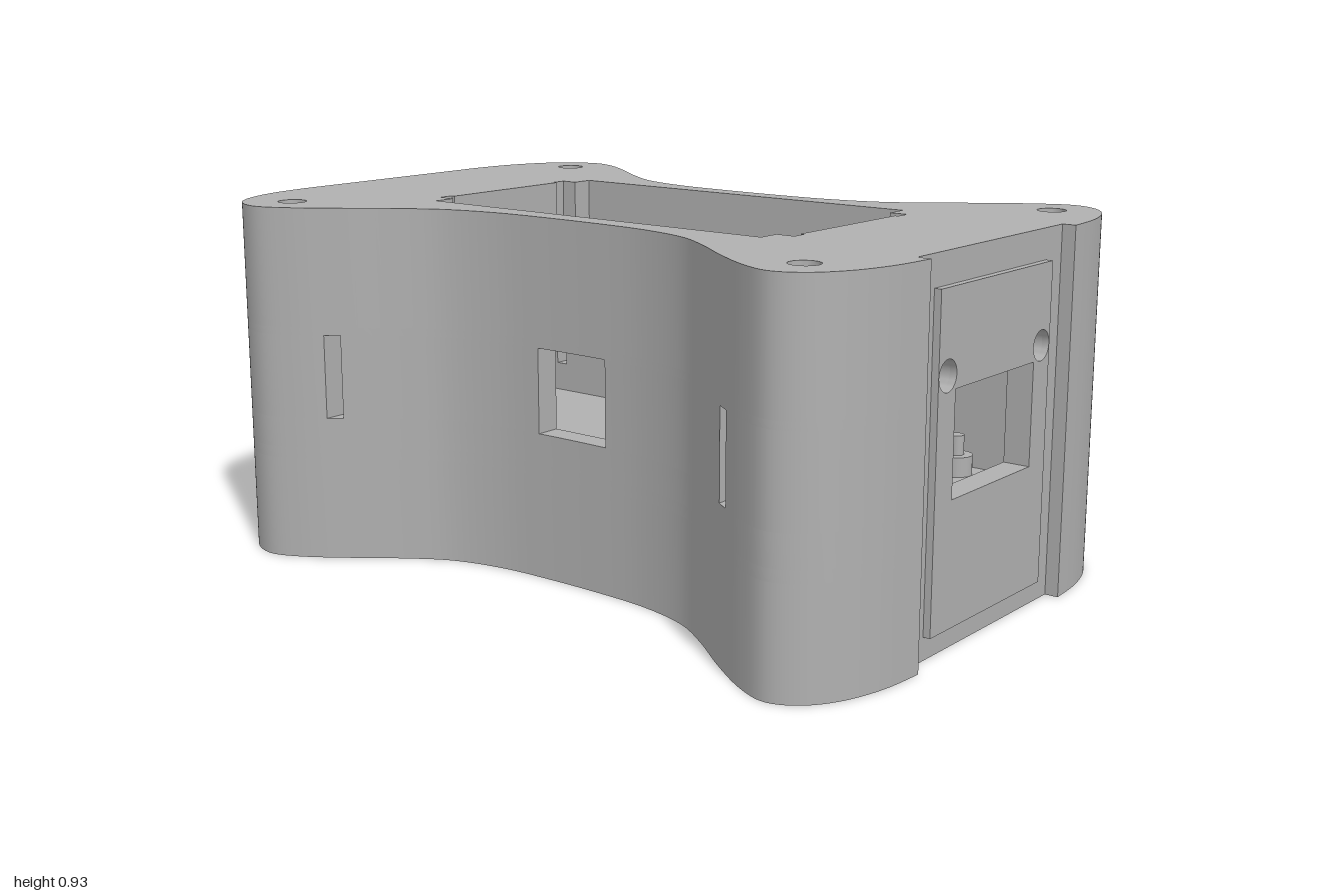
import * as THREE from 'three';
import { toCreasedNormals } from 'three/addons/utils/BufferGeometryUtils.js';

const HEIGHT = 0.93, PLATE_Z = 0.33, CAVITY_Z = 0.3;
const LEFT_IN = -0.95, RIGHT_IN = 0.915, RIGHT_FACE = 0.965;

// Half outline of the waisted body, as x and half depth
const rim = new THREE.SplineCurve([
  [-1, 0.33], [-0.987, 0.45], [-0.95, 0.56], [-0.89, 0.638], [-0.8, 0.672], [-0.71, 0.64],
  [-0.6, 0.565], [-0.48, 0.475], [-0.37, 0.41], [-0.23, 0.375], [-0.08, 0.365], [0.1, 0.365],
  [0.25, 0.375], [0.39, 0.41], [0.5, 0.475], [0.62, 0.565], [0.735, 0.64], [0.825, 0.672],
  [0.9, 0.638], [0.955, 0.56], [0.988, 0.45], [1, 0.33],
].map(([x, z]) => new THREE.Vector2(x, z))).getPoints(168);

// Part of the rim between two x values, with exact ends
function rimBetween(x0, x1) {
  const at = (x) => {
    const i = Math.max(1, rim.findIndex((p) => p.x >= x - 1e-9));
    const a = rim[i - 1], b = rim[i];
    return [x, a.y + (b.y - a.y) * (x - a.x) / (b.x - a.x)];
  };
  const inner = rim.filter((p) => p.x > x0 + 0.002 && p.x < x1 - 0.002).map((p) => [p.x, p.y]);
  return [at(x0), ...inner, at(x1)];
}

const toShape = (pts) => new THREE.Shape(pts.map(([a, b]) => new THREE.Vector2(a, b)));
const circle = (x, y, r) => new THREE.Path().absarc(x, y, r, 0, Math.PI * 2, true);
const rect = (x0, y0, x1, y1) => [[x0, y0], [x1, y0], [x1, y1], [x0, y1]];

export function createModel() {
  const group = new THREE.Group();
  const grey = new THREE.MeshStandardMaterial({ color: 0xb0b0b0 });
  grey.name = 'grey';

  const add = (name, geometry) => {
    const mesh = new THREE.Mesh(geometry, grey);
    mesh.name = name;
    group.add(mesh);
    return mesh;
  };
  const extrude = (shape, depth) =>
    new THREE.ExtrudeGeometry(shape, { depth, bevelEnabled: false, curveSegments: 14 });

  // Horizontal layer: plan points are [x, z], raised from y0 to y1
  const screws = [[-0.8, -0.545], [-0.8, 0.545], [0.825, -0.545], [0.825, 0.545]];
  function layer(name, plan, y0, y1, screwHoles, pocket) {
    const shape = toShape(plan.map(([x, z]) => [x, -z]));
    screwHoles.forEach(([x, z]) => shape.holes.push(circle(x, -z, 0.037)));
    if (pocket) shape.holes.push(toShape(pocket.map(([x, z]) => [x, -z])));
    const g = extrude(shape, y1 - y0).rotateX(-Math.PI / 2).translate(0, y0, 0);
    add(name, toCreasedNormals(g, 0.6));
  }

  // Whole outline, with room for the two end plates
  const outline = (leftX) => [
    ...rimBetween(-1, 1), [RIGHT_IN, PLATE_Z], [RIGHT_IN, -PLATE_Z],
    ...rimBetween(-1, 1).reverse().map(([x, z]) => [x, -z]),
    [leftX, -PLATE_Z], [leftX, PLATE_Z],
  ];

  // Base with the open tray slot, then the floor above it
  layer('base', outline(0.84), 0, 0.27, screws);
  layer('floor', outline(LEFT_IN), 0.27, 0.3, screws);

  // Side walls around the cavity; the openings split the middle layer
  const openings = [-0.64, -0.605, -0.1, 0.12, 0.625, 0.66];
  for (const [y0, y1, cuts] of [[0.3, 0.38, []], [0.38, 0.6, openings], [0.6, 0.62, []]]) {
    const stops = [-1, ...cuts, 1];
    for (let i = 0; i < stops.length; i += 2) {
      const x0 = stops[i], x1 = stops[i + 1];
      const plan = rimBetween(x0, x1);
      if (x1 === 1) plan.push([RIGHT_IN, PLATE_Z], [RIGHT_IN, CAVITY_Z]);
      else plan.push([x1, CAVITY_Z]);
      if (x0 === -1) plan.push([LEFT_IN, CAVITY_Z], [LEFT_IN, PLATE_Z]);
      else plan.push([x0, CAVITY_Z]);
      for (const s of [1, -1]) {
        layer('sideWall', plan.map(([x, z]) => [x, z * s]), y0, y1,
          screws.filter(([x, z]) => x > x0 && x < x1 && z * s > 0));
      }
    }
  }

  // Top block with the stepped pocket opening
  const pocket = [
    [-0.515, -0.305], [0.535, -0.305], [0.535, -0.245], [0.585, -0.245], [0.585, -0.205],
    [0.575, -0.205], [0.575, 0.2], [0.585, 0.2], [0.585, 0.24], [0.535, 0.24], [0.535, 0.3],
    [-0.515, 0.3], [-0.515, 0.24], [-0.56, 0.24], [-0.56, 0.2], [-0.55, 0.2],
    [-0.55, -0.205], [-0.56, -0.205], [-0.56, -0.245], [-0.515, -0.245],
  ];
  layer('topBlock', outline(LEFT_IN), 0.62, HEIGHT, screws, pocket);

  // End plates: drawn in z and y, thickened along x
  function endPlate(name, points, windowTop, x0, x1) {
    const shape = toShape(points);
    shape.holes.push(toShape(rect(-0.18, 0.365, 0.18, windowTop)));
    for (const s of [1, -1]) shape.holes.push(circle(s * 0.215, 0.655, 0.038));
    const g = extrude(shape, x1 - x0).rotateY(Math.PI / 2).translate(x0, 0, 0);
    add(name, toCreasedNormals(g, 0.6));
  }
  endPlate('rightRecessPlate', rect(-PLATE_Z, 0, PLATE_Z, HEIGHT), 0.62, RIGHT_IN, RIGHT_FACE);
  endPlate('raisedPanel', rect(-0.255, 0.057, 0.255, 0.853), 0.62, RIGHT_FACE, 0.983);
  endPlate('notchedPlate', [
    [-PLATE_Z, 0], [-0.213, 0], [-0.213, 0.27], [0.213, 0.27], [0.213, 0],
    [PLATE_Z, 0], [PLATE_Z, HEIGHT], [-PLATE_Z, HEIGHT],
  ], 0.582, -1, LEFT_IN);

  // Mounting posts inside the cavity
  for (const x of [-0.76, 0.76]) {
    for (const z of [-0.225, 0.225]) {
      add('postBase', new THREE.CylinderGeometry(0.04, 0.04, 0.05, 20)).position.set(x, 0.325, z);
      add('postPin', new THREE.CylinderGeometry(0.018, 0.018, 0.05, 16)).position.set(x, 0.375, z);
    }
  }
  return group;
}
